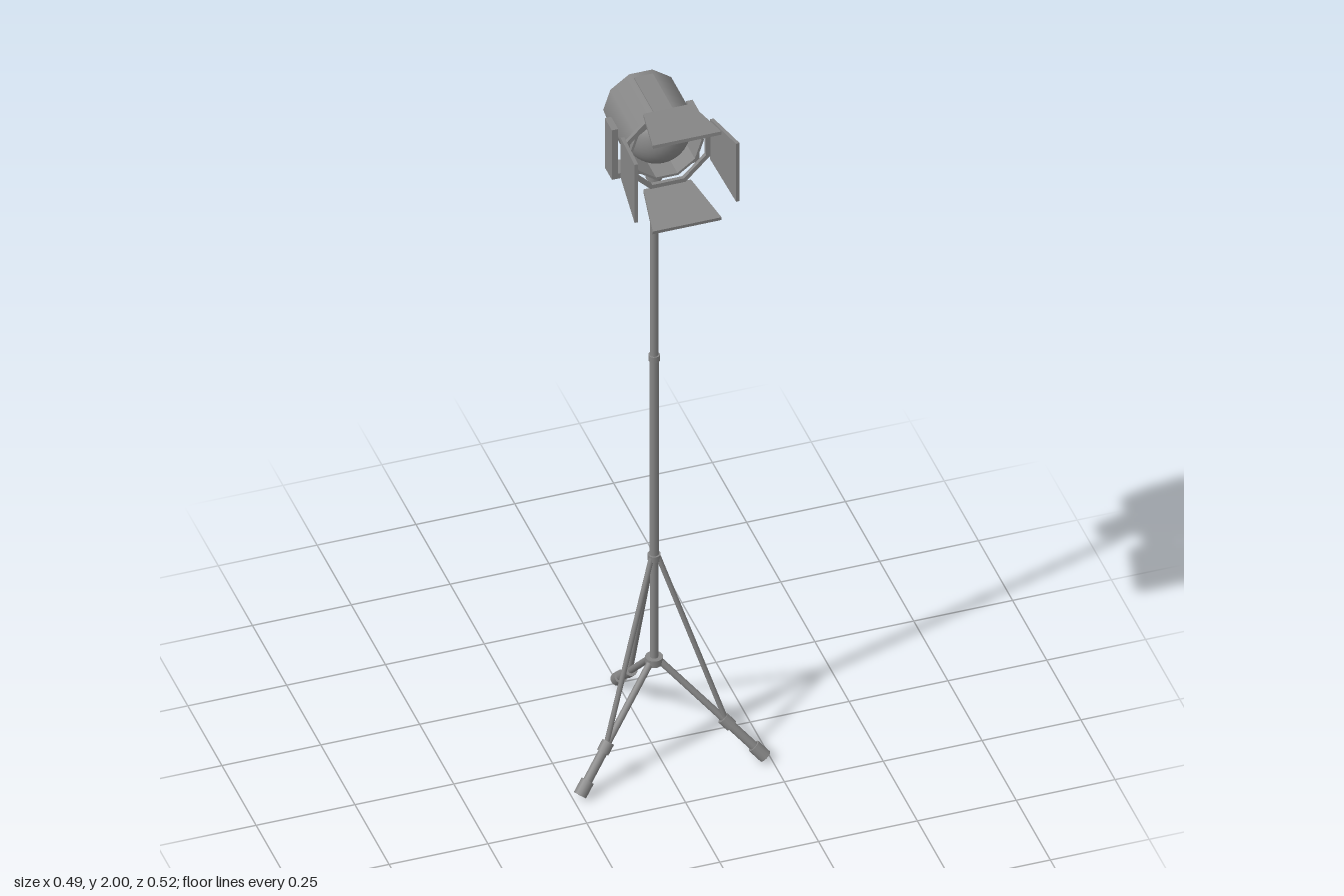
import * as THREE from 'three';

const grey = new THREE.MeshStandardMaterial({ color: 0x868686 });
const HEAD_Y = 1.867, POLE_Z = 0.02;

function add(parent, name, geometry) {
  const mesh = new THREE.Mesh(geometry, grey);
  mesh.name = name;
  parent.add(mesh);
  return mesh;
}

// Cylinder running from point a to point b
function rod(parent, name, a, b, radius) {
  const dir = b.clone().sub(a);
  const mesh = add(parent, name, new THREE.CylinderGeometry(radius, radius, dir.length(), 12));
  mesh.position.copy(a).add(b).multiplyScalar(0.5);
  mesh.quaternion.setFromUnitVectors(new THREE.Vector3(0, 1, 0), dir.normalize());
  return mesh;
}

function box(parent, name, w, h, d, x, y, z) {
  const mesh = add(parent, name, new THREE.BoxGeometry(w, h, d));
  mesh.position.set(x, y, z);
  return mesh;
}

function ngon(radius, sides, turn) {
  return Array.from({ length: sides }, (_, i) => {
    const a = turn + (i / sides) * Math.PI * 2;
    return new THREE.Vector2(Math.cos(a) * radius, Math.sin(a) * radius);
  });
}

// Polygonal ring or disc extruded along z, starting at z0
function prism(outer, inner, sides, turn, z0, depth) {
  const shape = new THREE.Shape(ngon(outer, sides, turn));
  if (inner) shape.holes.push(new THREE.Path(ngon(inner, sides, turn)));
  return new THREE.ExtrudeGeometry(shape, { depth, bevelEnabled: false }).translate(0, 0, z0);
}

function buildStand() {
  const stand = new THREE.Group();
  stand.name = 'stand';
  stand.position.z = POLE_Z;
  const v = (r, y) => new THREE.Vector3(0, y, r);
  const upright = (name, y0, y1, r) => rod(stand, name, v(0, y0), v(0, y1), r);

  // Telescopic pole with its collars
  upright('lowerPole', 0.255, 0.58, 0.01);
  upright('middlePole', 0.57, 1.17, 0.0115);
  upright('upperPole', 1.16, 1.72, 0.0105);
  upright('legHub', 0.255, 0.274, 0.022);
  upright('braceCollar', 0.565, 0.582, 0.016);
  upright('poleCollar', 1.163, 1.18, 0.014);
  upright('swivelNeck', 1.703, 1.715, 0.016);
  upright('swivel', 1.712, 1.742, 0.021);

  // Three legs with braces
  const top = v(0.012, 0.265), tip = v(0.271, 0.0118);
  const at = (t) => top.clone().lerp(tip, t);
  for (let i = 0; i < 3; i++) {
    const leg = new THREE.Group();
    leg.name = 'leg';
    leg.rotation.y = Math.PI + (i * Math.PI * 2) / 3;
    rod(leg, 'upperLeg', at(0), at(0.63), 0.0085);
    rod(leg, 'lowerLeg', at(0.62), at(0.95), 0.0115);
    rod(leg, 'legCollar', at(0.6), at(0.68), 0.0155);
    rod(leg, 'foot', at(0.89), at(1), 0.0165);
    rod(leg, 'brace', v(0.01, 0.575), at(0.635), 0.0065);
    stand.add(leg);
  }
  return stand;
}

function buildYoke() {
  const yoke = new THREE.Group();
  yoke.name = 'yoke';
  box(yoke, 'yokeBase', 0.222, 0.015, 0.052, 0, 1.747, 0.006);
  for (const s of [-1, 1]) box(yoke, 'yokeArm', 0.016, 0.148, 0.052, s * 0.103, 1.814, 0.006);
  return yoke;
}

function buildHead() {
  const head = new THREE.Group();
  head.name = 'lampHead';
  head.position.y = HEAD_Y;

  // Ten-sided housing: smooth skin over a thin wall, recessed back plate, top panel
  const skin = new THREE.CylinderGeometry(0.095, 0.095, 0.19, 10, 1, true);
  skin.rotateX(Math.PI / 2).rotateZ(Math.PI / 2).translate(0, 0, 0.017);
  add(head, 'housing', skin);
  add(head, 'housingWall', prism(0.0945, 0.088, 10, 0, -0.078, 0.19));
  add(head, 'backPlate', prism(0.091, 0, 10, 0, -0.07, 0.012));
  box(head, 'topPanel', 0.048, 0.008, 0.15, 0, 0.09, 0.017);

  const lens = add(head, 'lens', new THREE.SphereGeometry(0.083, 32, 20));
  lens.position.z = 0.035;

  // Octagonal frame carrying the flaps
  const k = Math.cos(Math.PI / 8);
  add(head, 'flapFrame', prism(0.107 / k, 0.096 / k, 8, Math.PI / 8, 0.112, 0.01));

  // Four flaps that widen and splay outwards
  const outline = new THREE.Shape([
    new THREE.Vector2(-0.06, 0), new THREE.Vector2(0.06, 0),
    new THREE.Vector2(0.087, 0.147), new THREE.Vector2(-0.087, 0.147),
  ]);
  const flapGeometry = new THREE.ExtrudeGeometry(outline, { depth: 0.009, bevelEnabled: false });
  flapGeometry.rotateX(Math.PI / 2).translate(0, 0.0045, 0);
  for (let i = 0; i < 4; i++) {
    const mount = new THREE.Group();
    mount.name = 'flapMount';
    mount.rotation.z = (i * Math.PI) / 2;
    const flap = add(mount, 'flap', flapGeometry);
    flap.position.set(0, 0.113, 0.115);
    flap.rotation.x = -0.105;
    head.add(mount);
  }
  return head;
}

export function createModel() {
  const model = new THREE.Group();
  model.name = 'studioLight';
  model.add(buildStand(), buildYoke(), buildHead());
  return model;
}
